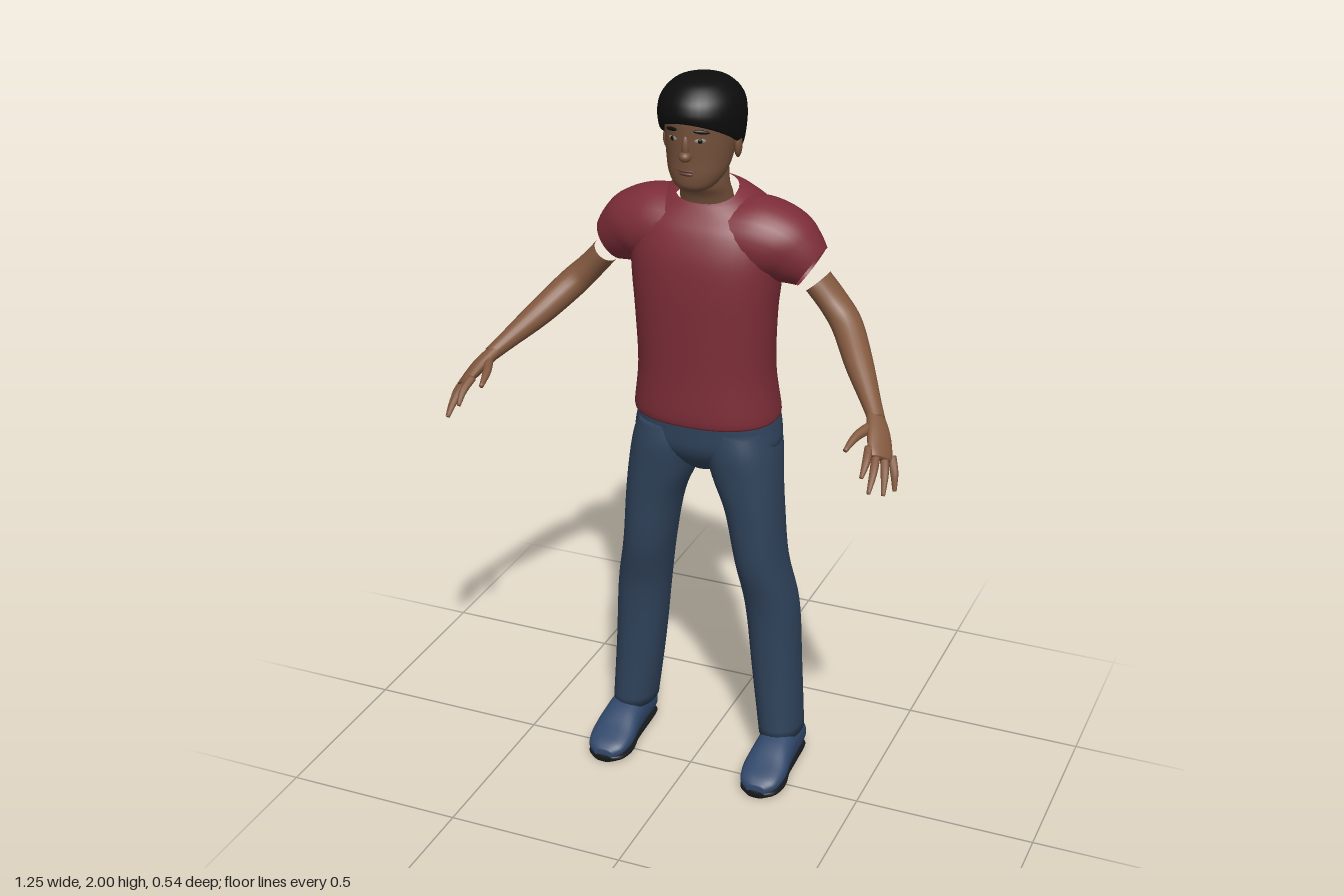
import * as THREE from 'three';

// Catmull-Rom interpolation of every column of a station list
function smooth(rows, steps = 5) {
  const out = [];
  const at = i => rows[Math.max(0, Math.min(rows.length - 1, i))];
  for (let i = 0; i < rows.length - 1; i++) {
    for (let s = 0; s < steps; s++) {
      const t = s / steps;
      out.push(rows[i].map((b, c) => {
        const a = at(i - 1)[c], d = at(i + 1)[c], e = at(i + 2)[c];
        return 0.5 * (2 * b + (d - a) * t + (2 * a - 5 * b + 4 * d - e) * t * t + (3 * b - a - 3 * d + e) * t ** 3);
      }));
    }
  }
  out.push(rows[rows.length - 1]);
  return out;
}

// Skin a list of closed rings, with optional end caps
function loft(rings, capStart = true, capEnd = true) {
  const n = rings[0].length, pos = [], idx = [];
  rings.forEach(r => r.forEach(p => pos.push(p.x, p.y, p.z)));
  for (let i = 0; i < rings.length - 1; i++) {
    for (let k = 0; k < n; k++) {
      const a = i * n + k, b = i * n + (k + 1) % n;
      idx.push(a, b, a + n, b, b + n, a + n);
    }
  }
  const cap = (ring, base, start) => {
    const c = new THREE.Vector3();
    ring.forEach(p => c.addScaledVector(p, 1 / n));
    const m = pos.length / 3;
    pos.push(c.x, c.y, c.z);
    for (let k = 0; k < n; k++) {
      const a = base + k, b = base + (k + 1) % n;
      if (start) idx.push(m, b, a); else idx.push(m, a, b);
    }
  };
  if (capStart) cap(rings[0], 0, true);
  if (capEnd) cap(rings[rings.length - 1], (rings.length - 1) * n, false);
  const g = new THREE.BufferGeometry();
  g.setAttribute('position', new THREE.Float32BufferAttribute(pos, 3));
  g.setIndex(idx);
  g.computeVertexNormals();
  return g;
}

const angles = n => Array.from({ length: n }, (_, k) => k / n * Math.PI * 2);
const power = (v, e) => Math.sign(v) * Math.abs(v) ** e;

// Upright form; stations from the bottom: [y, centreX, halfWidth, frontZ, backZ, optional tilt]
function upright(rows, round = 2, capStart = true, capEnd = true) {
  const full = rows.map(r => [...r, 0].slice(0, 6));
  return loft(smooth(full).map(([y, cx, w, f, b, tilt]) => angles(36).map(a => {
    const s = power(Math.sin(a), 2 / round), c = power(Math.cos(a), 2 / round);
    return new THREE.Vector3(cx + w * s, y - tilt * c, (f + b) / 2 + (f - b) / 2 * c);
  })), capStart, capEnd);
}

// Limb along a path; stations: [x, y, z, radius along ref, radius across]
function limb(rows, ref, capStart = true, capEnd = true, sides = 20) {
  const st = smooth(rows), P = st.map(r => new THREE.Vector3(r[0], r[1], r[2]));
  return loft(st.map((r, i) => {
    const t = P[Math.min(i + 1, P.length - 1)].clone().sub(P[Math.max(i - 1, 0)]).normalize();
    const u = ref.clone().addScaledVector(t, -ref.dot(t)).normalize();
    const v = t.clone().cross(u);
    return angles(sides).map(a => P[i].clone().addScaledVector(u, r[3] * Math.cos(a)).addScaledVector(v, r[4] * Math.sin(a)));
  }), capStart, capEnd);
}

// Foot form running heel to toe; stations: [z, halfWidth, top]
function footForm(rows, bottom, cx) {
  return loft(smooth(rows).map(([z, w, top]) => angles(28).map(a => new THREE.Vector3(
    cx + w * power(Math.cos(a), 0.8),
    (top + bottom) / 2 + (top - bottom) / 2 * power(Math.sin(a), 0.8), z))));
}

function flip(g) {
  g.setIndex(Array.from(g.index.array).reverse());
  g.computeVertexNormals();
  return g;
}

export function createModel() {
  const model = new THREE.Group();
  model.name = 'standingMan';
  const mat = (name, color) => {
    const m = new THREE.MeshStandardMaterial({ color });
    m.name = name;
    return m;
  };
  const shirt = mat('shirtRed', 0x7d2d38), denim = mat('trouserBlue', 0x2f425a);
  const skin = mat('skin', 0x83593f), faceSkin = mat('faceSkin', 0x75513b);
  const hairMat = mat('hairBlack', 0x0d0d0d), shoeMat = mat('shoeBlue', 0x31486a);
  const soleMat = mat('soleDark', 0x17181b), lipMat = mat('lipBrown', 0x5f3a30);
  const eyeMat = mat('eyeWhite', 0x8f8378);

  const add = (name, geo, m) => {
    const mesh = new THREE.Mesh(geo, m);
    mesh.name = name;
    model.add(mesh);
  };
  const pair = (name, geo, m) => {
    add('left' + name, geo, m);
    add('right' + name, flip(geo.clone().scale(-1, 1, 1)), m);
  };
  const blob = (x, y, z, rx, ry, rz, turnY = 0, turnZ = 0) =>
    new THREE.SphereGeometry(1, 18, 12).scale(rx, ry, rz).rotateZ(turnZ).rotateY(turnY).translate(x, y, z);
  const Z = new THREE.Vector3(0, 0, 1);

  // Shirt: torso with turned-in hem and collar sloping down to the front
  add('shirtBody', upright([
    [1.08, 0, 0.185, 0.0, -0.25], [1.073, 0, 0.2, 0.025, -0.272], [1.2, 0, 0.186, 0.025, -0.255],
    [1.35, 0, 0.191, 0.028, -0.243], [1.45, 0, 0.2, 0.028, -0.248], [1.53, 0, 0.206, 0.02, -0.257],
    [1.6, 0, 0.2, -0.003, -0.258, 0.003], [1.645, 0, 0.165, -0.03, -0.245, 0.01],
    [1.678, 0, 0.112, -0.046, -0.21, 0.02], [1.69, 0, 0.082, -0.052, -0.175, 0.025],
  ], 2.3, false, false), shirt);
  pair('Sleeve', limb([
    [0.08, 1.572, -0.13, 0.115, 0.1], [0.14, 1.57, -0.132, 0.115, 0.107], [0.2, 1.556, -0.135, 0.105, 0.1],
    [0.245, 1.53, -0.135, 0.083, 0.084], [0.28, 1.506, -0.135, 0.062, 0.062],
  ], Z, false, false, 28), shirt);
  pair('SleeveLining', flip(limb([
    [0.235, 1.533, -0.135, 0.057, 0.057], [0.28, 1.506, -0.135, 0.061, 0.061],
  ], Z, false, false, 28)), shirt);

  // Trousers
  add('trouserSeat', upright([
    [0.905, 0, 0.045, -0.07, -0.17], [0.94, 0, 0.12, -0.03, -0.212], [0.985, 0, 0.2, -0.004, -0.25],
    [1.04, 0, 0.202, 0, -0.266], [1.09, 0, 0.19, 0, -0.26],
  ], 2.2), denim);
  pair('TrouserLeg', upright([
    [0.1, 0.226, 0.06, -0.05, -0.215], [0.3, 0.208, 0.068, -0.055, -0.215], [0.5, 0.192, 0.073, -0.048, -0.213],
    [0.65, 0.166, 0.07, -0.017, -0.2], [0.8, 0.146, 0.078, -0.008, -0.2], [0.9, 0.122, 0.094, -0.003, -0.216],
    [0.98, 0.105, 0.101, 0, -0.247], [1.04, 0.1, 0.088, -0.01, -0.25],
  ], 2.2), denim);

  // Shoes and soles
  pair('Shoe', footForm([
    [-0.21, 0.028, 0.06], [-0.195, 0.046, 0.1], [-0.1, 0.054, 0.12], [-0.04, 0.058, 0.108],
    [0.02, 0.063, 0.078], [0.07, 0.053, 0.056], [0.093, 0.026, 0.038],
  ], 0.012, 0.233), shoeMat);
  pair('Sole', footForm([
    [-0.211, 0.026, 0.024], [-0.195, 0.045, 0.024], [-0.1, 0.05, 0.022], [-0.04, 0.053, 0.022],
    [0.02, 0.063, 0.022], [0.07, 0.053, 0.022], [0.094, 0.026, 0.022],
  ], 0, 0.233), soleMat);

  // Bare arms
  pair('Arm', limb([
    [0.298, 1.47, -0.135, 0.05, 0.036], [0.345, 1.417, -0.132, 0.048, 0.037], [0.39, 1.37, -0.108, 0.043, 0.04],
    [0.45, 1.305, -0.03, 0.038, 0.036], [0.51, 1.245, 0.05, 0.027, 0.025], [0.54, 1.215, 0.09, 0.024, 0.02],
  ], Z, false, true), skin);

  // Hands: palm, four spread fingers and thumb
  const across = new THREE.Vector3(0.64, -0.45, -0.62);
  pair('Palm', limb([
    [0.527, 1.228, 0.073, 0.022, 0.019], [0.555, 1.196, 0.12, 0.034, 0.019],
    [0.574, 1.168, 0.163, 0.037, 0.014], [0.582, 1.156, 0.18, 0.03, 0.009],
  ], across), skin);
  const tips = [[0.555, 1.13, 0.25], [0.58, 1.1, 0.266], [0.605, 1.08, 0.225], [0.62, 1.073, 0.178]];
  tips.forEach((tip, i) => {
    const k = i / 3;
    const root = [0.55 + 0.048 * k, 1.181 - 0.033 * k, 0.18 - 0.04 * k];
    const mid = root.map((v, c) => (v + tip[c]) / 2 + 0.004);
    pair('Finger' + (i + 1), limb([
      [...root, 0.011, 0.011], [...mid, 0.01, 0.01], [...tip, 0.005, 0.005],
    ], across, true, true, 10), skin);
  });
  pair('Thumb', limb([
    [0.537, 1.208, 0.108, 0.015, 0.013], [0.513, 1.2, 0.165, 0.012, 0.011], [0.502, 1.182, 0.22, 0.006, 0.006],
  ], across, true, true, 10), skin);

  // Neck and head
  add('neck', upright([
    [1.62, 0, 0.074, -0.07, -0.168], [1.68, 0, 0.071, -0.054, -0.16],
    [1.72, 0, 0.067, -0.032, -0.147], [1.78, 0, 0.066, -0.03, -0.14],
  ]), faceSkin);
  add('head', upright([
    [1.714, 0, 0.03, 0.004, -0.05], [1.73, 0, 0.054, 0.025, -0.09], [1.76, 0, 0.074, 0.031, -0.13],
    [1.8, 0, 0.084, 0.032, -0.16], [1.86, 0, 0.09, 0.036, -0.18], [1.92, 0, 0.09, 0.035, -0.185],
    [1.965, 0, 0.06, 0, -0.15],
  ]), faceSkin);
  add('nose', blob(0, 1.815, 0.035, 0.016, 0.014, 0.018), faceSkin);
  add('noseBridge', blob(0, 1.838, 0.032, 0.01, 0.032, 0.012), faceSkin);
  pair('Ear', blob(0.094, 1.825, -0.085, 0.011, 0.034, 0.022, 0.25), faceSkin);

  // Facial details
  pair('Eye', blob(0.037, 1.857, 0.0265, 0.015, 0.006, 0.003, 0.5), eyeMat);
  pair('Iris', blob(0.037, 1.857, 0.028, 0.0065, 0.006, 0.003, 0.5), hairMat);
  pair('Eyebrow', blob(0.04, 1.88, 0.0265, 0.021, 0.005, 0.004, 0.5, -0.12), hairMat);
  add('upperLip', blob(0, 1.776, 0.029, 0.026, 0.004, 0.006), lipMat);
  add('lowerLip', blob(0, 1.768, 0.029, 0.02, 0.005, 0.006), lipMat);

  // Hair: cap cut high over the forehead and low at the nape
  add('hair', upright([
    [1.842, 0, 0.09, 0.032, -0.165, -0.062], [1.838, 0, 0.101, 0.044, -0.183, -0.062],
    [1.862, 0, 0.108, 0.05, -0.2, -0.045], [1.91, 0, 0.111, 0.05, -0.207, -0.015],
    [1.95, 0, 0.101, 0.038, -0.196, -0.003], [1.982, 0, 0.072, 0.006, -0.158],
    [1.996, 0, 0.038, -0.03, -0.115], [2.0, 0, 0.008, -0.06, -0.085],
  ]), hairMat);

  return model;
}
